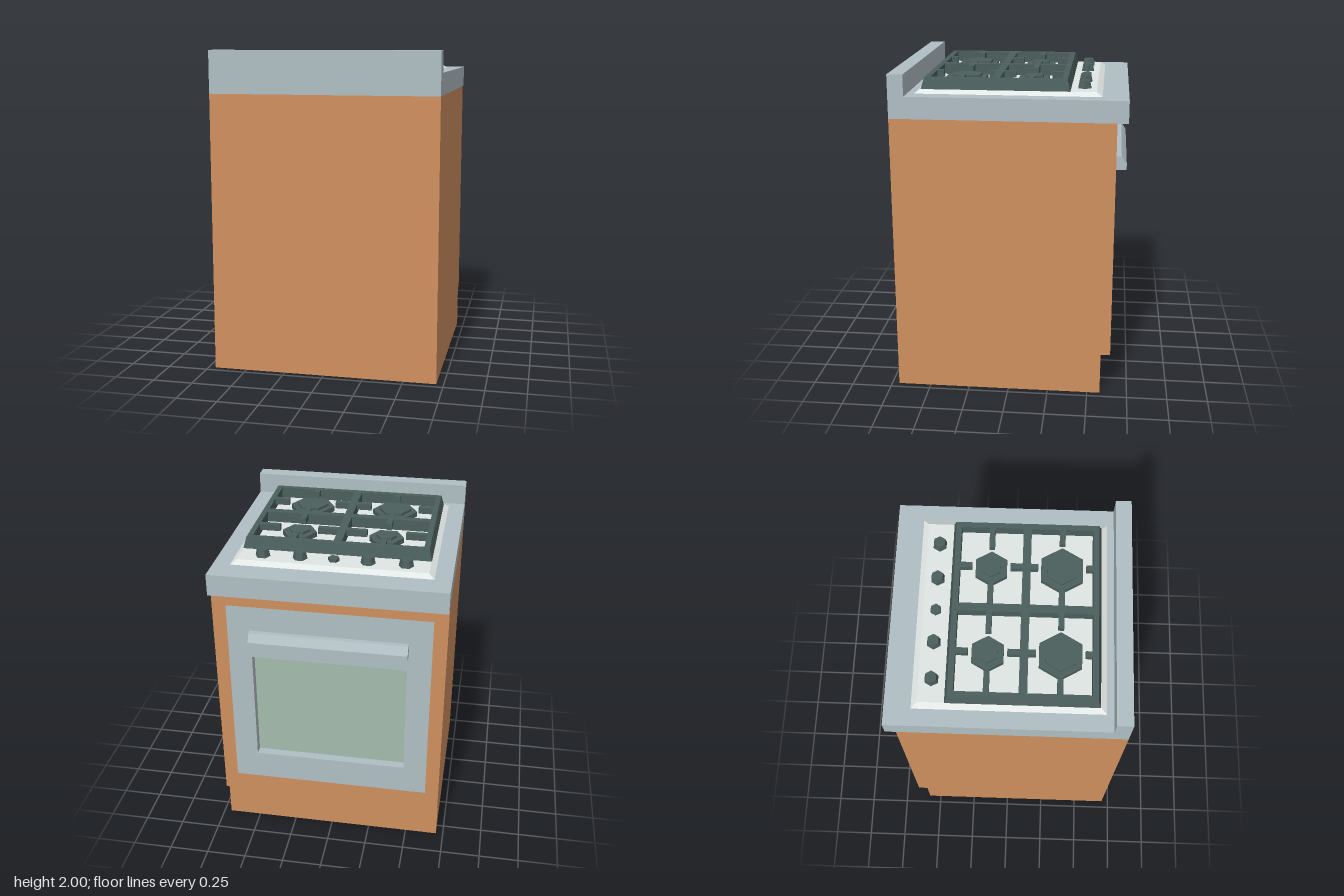
import * as THREE from 'three';

const mat = (color) => new THREE.MeshStandardMaterial({ color, flatShading: true });
const wood = mat(0xd0905f), metal = mat(0xb0bfc4), enamel = mat(0xe0e6e4);
const iron = mat(0x4c5f5d), glass = mat(0xa4bcac);

function add(parent, name, geometry, material) {
  const mesh = new THREE.Mesh(geometry, material);
  mesh.name = name;
  parent.add(mesh);
  return mesh;
}

// Box given by its limits; the top can be drawn in to form a bevel
function block(x0, x1, y0, y1, z0, z1, inset = 0) {
  const g = new THREE.BoxGeometry(x1 - x0, y1 - y0, z1 - z0);
  const p = g.attributes.position;
  for (let i = 0; i < p.count; i++) {
    if (p.getY(i) > 0) {
      p.setX(i, p.getX(i) - Math.sign(p.getX(i)) * inset);
      p.setZ(i, p.getZ(i) - Math.sign(p.getZ(i)) * inset);
    }
  }
  g.translate((x0 + x1) / 2, (y0 + y1) / 2, (z0 + z1) / 2);
  g.computeVertexNormals();
  return g;
}

const rect = (x, y0, y1) => [[-x, y0], [x, y0], [x, y1], [-x, y1]].map(([a, b]) => new THREE.Vector2(a, b));

// Rectangular frame extruded along z
function frame(outer, inner, depth) {
  const shape = new THREE.Shape(rect(...outer));
  shape.holes.push(new THREE.Path(rect(...inner)));
  return new THREE.ExtrudeGeometry(shape, { depth, bevelEnabled: false });
}

// Six-sided prism with corners pointing along x
function hex(rTop, rBottom, y0, y1, x, z) {
  return new THREE.CylinderGeometry(rTop, rBottom, y1 - y0, 6)
    .rotateY(Math.PI / 2).translate(x, (y0 + y1) / 2, z);
}

export function createModel() {
  const model = new THREE.Group();
  model.name = 'cooker';

  // Cabinet, with a front layer standing proud of the recessed plinth
  add(model, 'cabinet', block(-0.705, 0.705, 0, 1.737, -0.58, 0.705), wood);
  add(model, 'cabinetFront', frame([0.705, 0.265, 1.737], [0.62, 0.385, 1.645], 0.06), wood).position.z = -0.64;

  // Oven door with recessed window and handle
  const door = new THREE.Group();
  door.name = 'ovenDoor';
  model.add(door);
  add(door, 'doorFrame', frame([0.62, 0.385, 1.645], [0.475, 0.57, 1.3], 0.06), metal).position.z = -0.64;
  add(door, 'window', block(-0.475, 0.475, 0.57, 1.3, -0.585, -0.575), glass);
  const profile = [[0.64, 1.4], [0.705, 1.4], [0.705, 1.437], [0.673, 1.485], [0.64, 1.485]];
  const handle = new THREE.ExtrudeGeometry(
    new THREE.Shape(profile.map(([a, b]) => new THREE.Vector2(a, b))), { depth: 0.96, bevelEnabled: false });
  handle.translate(0, 0, -0.48).rotateY(Math.PI / 2);
  add(door, 'handle', handle, metal);

  // Worktop, upstand and bevelled hob plate
  add(model, 'worktop', block(-0.705, 0.705, 1.737, 1.87, -0.705, 0.705), metal);
  add(model, 'upstand', block(-0.705, 0.705, 1.87, 2, 0.61, 0.705), metal);
  add(model, 'hobPlate', block(-0.602, 0.602, 1.87, 1.892, -0.549, 0.568, 0.034), enamel);

  // Pan support: outer frame whose outside walls flare towards the base
  const grate = new THREE.Group();
  grate.name = 'panSupport';
  model.add(grate);
  const rim = frame([0.552, -0.428, 0.428], [0.518, -0.394, 0.394], 0.068);
  const p = rim.attributes.position;
  for (let i = 0; i < p.count; i++) {
    if (p.getZ(i) < 0.01 && Math.abs(p.getX(i)) > 0.53) {
      p.setX(i, p.getX(i) + Math.sign(p.getX(i)) * 0.018);
      p.setY(i, p.getY(i) + Math.sign(p.getY(i)) * 0.018);
    }
  }
  rim.rotateX(-Math.PI / 2).translate(0, 1.892, 0.0865);
  rim.computeVertexNormals();
  add(grate, 'outerFrame', rim, iron);
  add(grate, 'lengthwiseBar', block(-0.025, 0.025, 1.892, 1.96, -0.308, 0.481), iron);
  for (const [a, b] of [[-0.518, -0.025], [0.025, 0.518]]) {
    add(grate, 'crossBar', block(a, b, 1.892, 1.96, 0.062, 0.111), iron);
  }

  // Burners, each with four fingers reaching in from its grate cell
  const rows = [
    { z: -0.123, r: 0.107, cap: 0.064, z0: -0.308, z1: 0.062, gapX: 0.119, gapZ: 0.113 },
    { z: 0.297, r: 0.143, cap: 0.102, z0: 0.111, z1: 0.481, gapX: 0.154, gapZ: 0.142 },
  ];
  for (const side of [-1, 1]) {
    const x = side * 0.271, w = 0.017, y0 = 1.92, y1 = 1.96;
    const xs = [side * 0.025, side * 0.518].sort((a, b) => a - b);
    for (const { z, r, cap, z0, z1, gapX, gapZ } of rows) {
      add(model, 'burner', hex(r, r, 1.892, 1.925, x, z), iron);
      add(model, 'burnerCap', hex(cap, cap, 1.925, 1.94, x, z), iron);
      add(grate, 'finger', block(xs[0], x - gapX, y0, y1, z - w, z + w), iron);
      add(grate, 'finger', block(x + gapX, xs[1], y0, y1, z - w, z + w), iron);
      add(grate, 'finger', block(x - w, x + w, y0, y1, z0, z - gapZ), iron);
      add(grate, 'finger', block(x - w, x + w, y0, y1, z + gapZ, z1), iron);
    }
  }

  // Row of tapered control knobs with a small button in the middle
  for (const x of [-0.428, -0.203, 0.203, 0.428]) {
    add(model, 'knob', hex(0.036, 0.045, 1.892, 1.937, x, -0.439), iron);
  }
  add(model, 'button', hex(0.034, 0.034, 1.892, 1.912, 0, -0.439), iron);

  return model;
}
